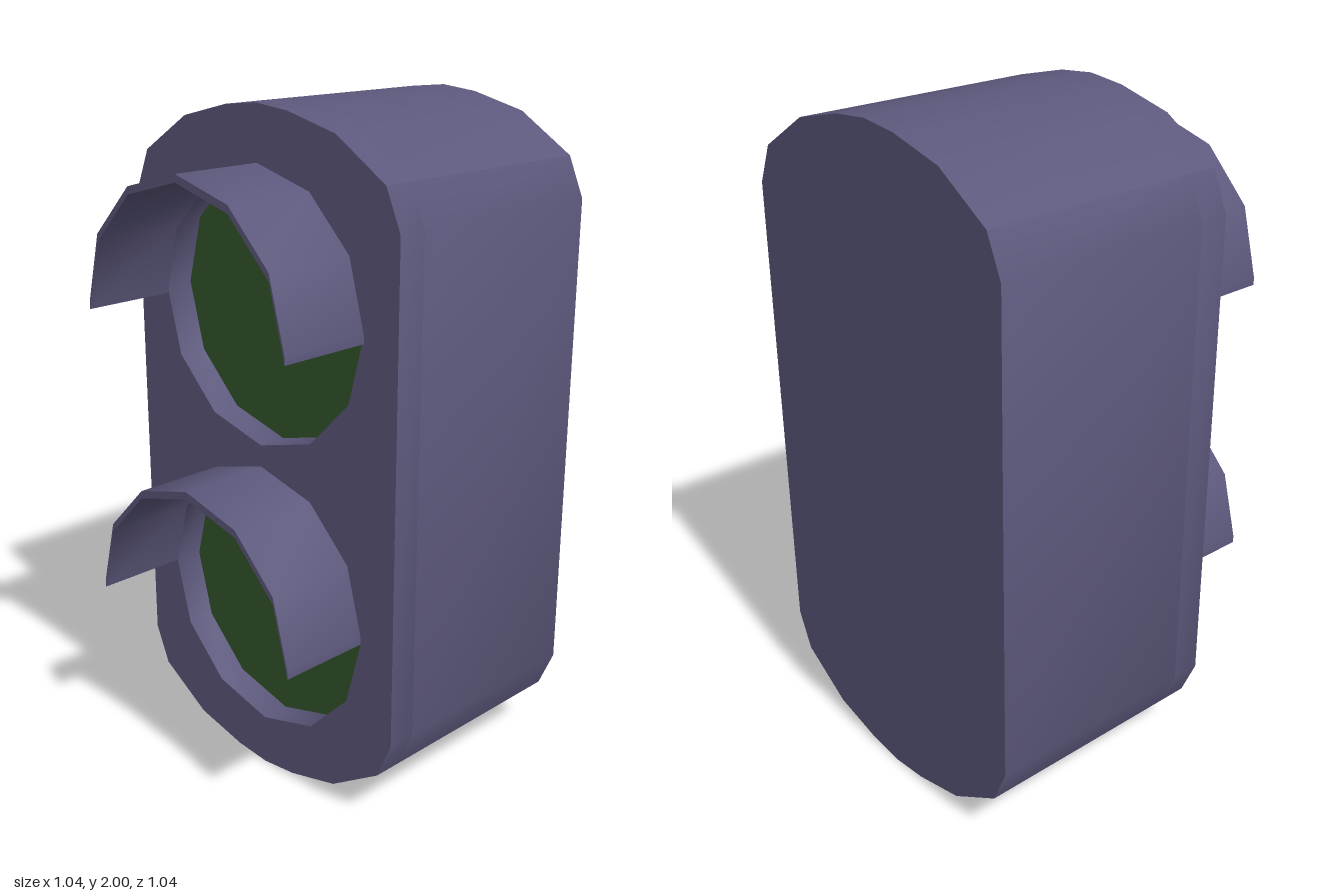
import * as THREE from 'three';
import { toCreasedNormals } from 'three/addons/utils/BufferGeometryUtils.js';

const BACK = -0.52, FRONT = 0.24, RECESS = 0.15, VISOR_END = 0.52;
const RADIUS = 0.4, SIDES = 12, LIP = 0.022;

// Each lamp: centre of the opening and centre of the visor's outer arc
const LAMPS = [
  { name: 'upper', y: 1.443, visorY: 1.443 },
  { name: 'lower', y: 0.555, visorY: 0.578 },
];

const housingMaterial = new THREE.MeshStandardMaterial({ color: 0x5c587c });
const lensMaterial = new THREE.MeshStandardMaterial({ color: 0x34572b });

// Points on a twelve-sided ring, from step a to step b
function arc(cy, a, b) {
  const points = [];
  const dir = Math.sign(b - a);
  for (let i = a; i !== b + dir; i += dir) {
    const t = (i / SIDES) * Math.PI * 2;
    points.push(new THREE.Vector2(RADIUS * Math.cos(t), cy + RADIUS * Math.sin(t)));
  }
  return points;
}

// Straight extrusion between two depths, smooth along the gentle bends
function slab(name, shape, z0, z1) {
  const geometry = new THREE.ExtrudeGeometry(shape, { depth: z1 - z0, bevelEnabled: false });
  geometry.translate(0, 0, z0);
  const mesh = new THREE.Mesh(toCreasedNormals(geometry, 0.55), housingMaterial);
  mesh.name = name;
  return mesh;
}

// Tall outline with faceted, domed ends
function housingShape() {
  const dome = [[0.52, 0.72], [0.47, 0.835], [0.295, 0.945], [0.12, 0.988], [0, 1]];
  const upperLeft = dome.slice(0, -1).reverse().map(([x, y]) => [-x, y]);
  const top = [...dome, ...upperLeft];
  const bottom = top.map(([x, y]) => [-x, -y]);
  return new THREE.Shape([...top, ...bottom].map(([x, y]) => new THREE.Vector2(x, 1 + y)));
}

export function createModel() {
  const model = new THREE.Group();
  model.name = 'signalLight';

  // Housing: solid rear block and a front panel with two openings
  const panel = housingShape();
  for (const lamp of LAMPS) panel.holes.push(new THREE.Path(arc(lamp.y, SIDES - 1, 0)));
  model.add(slab('housing', housingShape(), BACK, RECESS));
  model.add(slab('frontPanel', panel, RECESS, FRONT));

  for (const lamp of LAMPS) {
    // Lens at the bottom of the recess
    const lens = new THREE.Mesh(new THREE.CircleGeometry(RADIUS, SIDES), lensMaterial);
    lens.name = lamp.name + 'Lens';
    lens.position.set(0, lamp.y, RECESS + 0.002);
    model.add(lens);

    // Half-round visor, thick at the top and thin at the sides
    const half = SIDES / 2;
    const crescent = new THREE.Shape([
      ...arc(lamp.visorY, 0, half),
      ...arc(lamp.visorY - LIP, half, 0),
    ]);
    model.add(slab(lamp.name + 'Visor', crescent, FRONT, VISOR_END));
  }
  return model;
}
